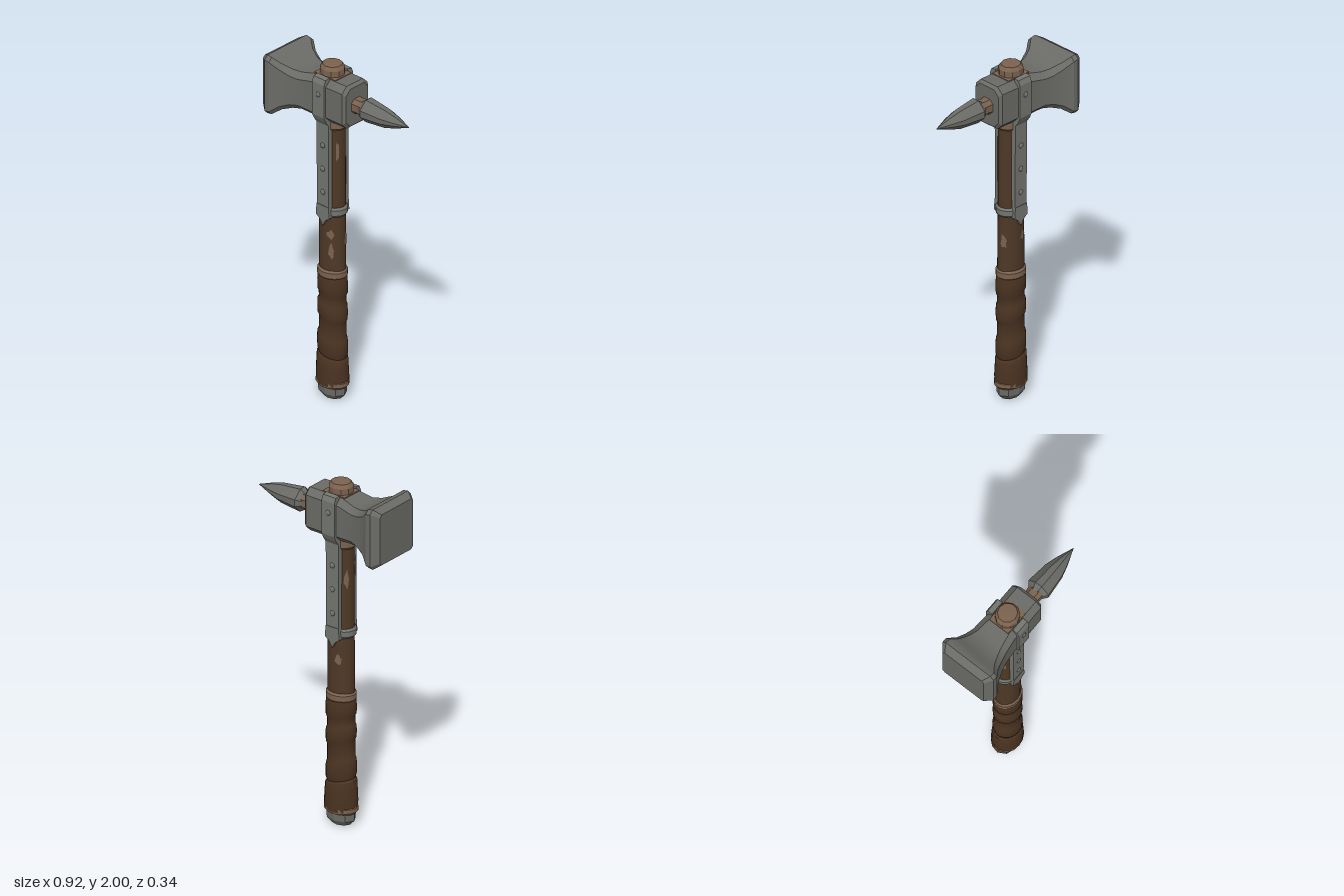
import * as THREE from 'three';
import { toCreasedNormals } from 'three/addons/utils/BufferGeometryUtils.js';

const mat = (name, color) => {
  const m = new THREE.MeshStandardMaterial({ color });
  m.name = name;
  return m;
};

// Chamfered rectangular sections [x, halfZ, yBottom, yTop, chamfer] joined along x
function loft(sections) {
  const pos = [], idx = [], last = (sections.length - 1) * 8;
  for (const [x, h, y0, y1, c] of sections) {
    const ring = [[h - c, y1], [h, y1 - c], [h, y0 + c], [h - c, y0],
      [c - h, y0], [-h, y0 + c], [-h, y1 - c], [c - h, y1]];
    for (const [z, y] of ring) pos.push(x, y, z);
  }
  for (let i = 0; i < last; i += 8) {
    for (let j = 0; j < 8; j++) {
      const a = i + j, b = i + (j + 1) % 8;
      idx.push(a, b, a + 8, b, b + 8, a + 8);
    }
  }
  for (let j = 1; j < 7; j++) idx.push(0, j + 1, j, last, last + j, last + j + 1);
  const g = new THREE.BufferGeometry();
  g.setAttribute('position', new THREE.Float32BufferAttribute(pos, 3));
  g.setIndex(idx);
  return toCreasedNormals(g, 0.5);
}

// Turned part with an oval cross-section
function turned(profile, zScale, sides = 16) {
  const g = new THREE.LatheGeometry(profile.map(([r, y]) => new THREE.Vector2(r, y)), sides);
  g.scale(1, 1, zScale);
  return g;
}

// Closed band with softened edges
const band = (r, y0, y1, zScale) => toCreasedNormals(turned(
  [[0.03, y0], [r - 0.01, y0], [r, y0 + 0.012], [r, y1 - 0.012], [r - 0.01, y1], [0.03, y1]], zScale), 0.6);

export function createModel() {
  const steel = mat('dark steel', 0x6a6b66);
  const strapSteel = mat('strap steel', 0x73756f);
  const wood = mat('dark wood', 0x4e3826);
  const leather = mat('leather', 0x4a3321);
  const tan = mat('worn tan', 0x7b624e);

  const model = new THREE.Group();
  const handle = new THREE.Group();
  handle.name = 'handle';
  handle.position.x = -0.09;
  model.add(handle);
  const add = (name, geometry, material, parent = handle) => {
    const m = new THREE.Mesh(geometry, material);
    m.name = name;
    parent.add(m);
    return m;
  };

  // Hammer head and back spike
  add('hammerHead', loft([
    [-0.462, 0.14, 1.66, 1.955, 0.015], [-0.42, 0.172, 1.63, 1.98, 0.022],
    [-0.39, 0.172, 1.635, 1.975, 0.022], [-0.345, 0.142, 1.668, 1.94, 0.025],
    [-0.29, 0.123, 1.688, 1.92, 0.03], [-0.24, 0.11, 1.695, 1.915, 0.032],
    [-0.15, 0.1, 1.685, 1.935, 0.035], [0.07, 0.098, 1.685, 1.938, 0.035],
    [0.087, 0.085, 1.7, 1.923, 0.033]]), steel, model);
  add('spikeNeck', loft([[0.08, 0.045, 1.765, 1.855, 0.022], [0.11, 0.04, 1.77, 1.85, 0.02],
    [0.15, 0.045, 1.765, 1.855, 0.022]]), tan, model);
  add('spike', loft([[0.135, 0.042, 1.768, 1.852, 0.03], [0.17, 0.067, 1.745, 1.877, 0.046],
    [0.3, 0.054, 1.757, 1.862, 0.038], [0.37, 0.035, 1.777, 1.845, 0.025],
    [0.462, 0.001, 1.811, 1.813, 0.0005]]), steel, model);

  // Wooden shaft, its top end and the collar under the head
  add('shaft', turned([[0.08, 0.7], [0.078, 1.1], [0.076, 1.68]], 0.8), wood);
  add('shaftTop', toCreasedNormals(turned(
    [[0.068, 1.9], [0.069, 1.975], [0.055, 1.996], [0, 2]], 0.96, 10), 0.5), tan);
  add('headCollar', band(0.087, 1.625, 1.692, 0.82), tan);
  add('topStain', new THREE.BoxGeometry(0.15, 0.006, 0.125).translate(0.002, 1.938, 0), tan);

  // Leather grip with slanting overlaps
  const grip = turned([[0.094, 0.09], [0.096, 0.14], [0.093, 0.2], [0.09, 0.25], [0.081, 0.262],
    [0.088, 0.285], [0.089, 0.34], [0.085, 0.37], [0.079, 0.385], [0.079, 0.475], [0.086, 0.49],
    [0.088, 0.53], [0.086, 0.565], [0.079, 0.58], [0.08, 0.625], [0.087, 0.64], [0.088, 0.69],
    [0.086, 0.72], [0.08, 0.75]], 0.84, 18);
  const p = grip.attributes.position;
  for (let i = 0; i < p.count; i++) {
    const y = p.getY(i);
    p.setY(i, y - 0.28 * p.getX(i) * Math.max(0, Math.sin(Math.PI * (y - 0.09) / 0.66)));
  }
  add('leatherGrip', toCreasedNormals(grip, 0.6), leather);
  add('upperGripBand', band(0.087, 0.727, 0.782, 0.86), tan);
  add('lowerGripBand', band(0.099, 0.075, 0.122, 0.79), tan);
  add('pommel', toCreasedNormals(turned(
    [[0, 0], [0.058, 0.003], [0.087, 0.032], [0.09, 0.085]], 0.72, 8), 0.4), steel);

  // Steel straps on both sides, with pointed ends and rivets
  const side = new THREE.Shape([[0.045, 1.1], [0.075, 1.1], [0.077, 1.66], [0.098, 1.69], [0.112, 1.72],
    [0.112, 1.915], [0.1, 1.943], [0.07, 1.947], [0.07, 1.7], [0.045, 1.66]].map(a => new THREE.Vector2(...a)));
  const strapGeo = new THREE.ExtrudeGeometry(side, { depth: 0.086, bevelEnabled: false });
  strapGeo.rotateY(-Math.PI / 2).translate(0.043, 0, 0);
  const tip = new THREE.Shape([[0, 1.05], [0.02, 1.085], [0.048, 1.105], [0.043, 1.17],
    [-0.043, 1.17], [-0.048, 1.105], [-0.02, 1.085]].map(a => new THREE.Vector2(...a)));
  const tipGeo = new THREE.ExtrudeGeometry(tip, { depth: 0.025, bevelEnabled: false }).translate(0, 0, 0.053);
  for (const turn of [0, Math.PI]) {
    const strap = new THREE.Group();
    strap.name = turn ? 'backStrap' : 'frontStrap';
    strap.rotation.y = turn;
    handle.add(strap);
    add('strapPlate', strapGeo, strapSteel, strap);
    add('strapPoint', tipGeo, strapSteel, strap);
    for (const [y, z] of [[1.25, 0.075], [1.39, 0.075], [1.53, 0.076], [1.85, 0.111]]) {
      const rivet = add('rivet', new THREE.SphereGeometry(0.016, 8, 6), strapSteel, strap);
      rivet.position.set(0, y, z);
      rivet.scale.z = 0.6;
    }
  }
  add('strapRing', band(0.088, 1.105, 1.16, 0.84), strapSteel);

  // Worn patches curved onto the shaft: [angle, y, half angle, half height]
  const patches = [[0.55, 0.9, 0.2, 0.045], [0.5, 1.0, 0.3, 0.025], [-1.2, 1.52, 0.25, 0.06], [-1.0, 1.36, 0.18, 0.04],
    [1.0, 1.5, 0.12, 0.06], [1.9, 0.96, 0.25, 0.04], [3.5, 0.98, 0.25, 0.03], [4.1, 1.45, 0.2, 0.05]];
  patches.forEach(([angle, y, w, h], k) => {
    const g = new THREE.CircleGeometry(1, 9);
    const q = g.attributes.position;
    for (let i = 0; i < q.count; i++) {
      const s = 1 + 0.25 * Math.sin(i * 2.4 + k);
      const a = angle + q.getX(i) * w * s;
      q.setXYZ(i, 0.081 * Math.sin(a), y + q.getY(i) * h * s, 0.066 * Math.cos(a));
    }
    g.computeVertexNormals();
    add('wornPatch', g, tan);
  });
  return model;
}
